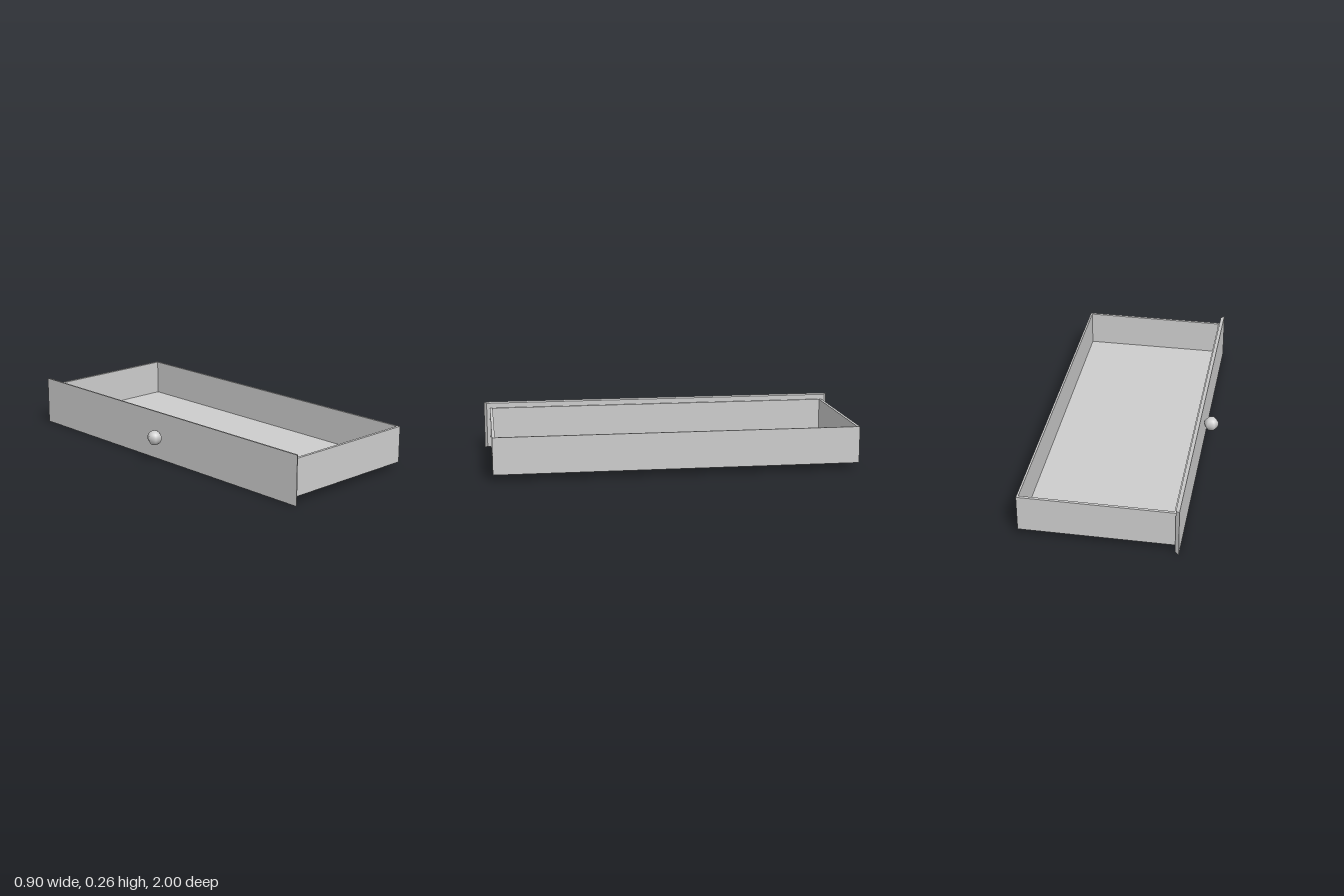
import * as THREE from 'three';

export function createModel() {
  const model = new THREE.Group();
  model.name = 'drawer';
  const grey = new THREE.MeshStandardMaterial({ color: 0xcccccc });
  grey.name = 'light grey';

  const add = (name, geometry, x, y, z) => {
    const mesh = new THREE.Mesh(geometry, grey);
    mesh.name = name;
    mesh.position.set(x, y, z);
    model.add(mesh);
    return mesh;
  };

  // Open tray: floor and four thin walls
  const x0 = -0.35, x1 = 0.45, y0 = 0.034, y1 = 0.23, halfZ = 0.967;
  const wallX = 0.01, wallZ = 0.015, floor = 0.004;
  const midX = (x0 + x1) / 2, wallH = y1 - y0, midY = (y0 + y1) / 2;
  const innerX = x1 - x0 - 2 * wallX, innerZ = 2 * (halfZ - wallZ);
  add('trayFloor', new THREE.BoxGeometry(innerX, floor, innerZ), midX, y0 + floor / 2, 0);
  for (const [name, x] of [['panelSideWall', x0 + wallX / 2], ['farWall', x1 - wallX / 2]])
    add(name, new THREE.BoxGeometry(wallX, wallH, innerZ), x, midY, 0);
  for (const [name, s] of [['frontEndWall', 1], ['backEndWall', -1]])
    add(name, new THREE.BoxGeometry(x1 - x0, wallH, wallZ), midX, midY, s * (halfZ - wallZ / 2));

  // Drawer face with edges bevelled inward towards the tray
  const face = new THREE.BoxGeometry(0.02, 0.262, 2);
  const p = face.attributes.position;
  for (let i = 0; i < p.count; i++) {
    if (p.getX(i) > 0) {
      p.setY(i, Math.sign(p.getY(i)) * 0.126);
      p.setZ(i, Math.sign(p.getZ(i)) * 0.985);
    }
  }
  face.computeVertexNormals();
  add('drawerFace', face, -0.36, 0.131, 0);

  // Round pull knob, six-sided around the vertical axis
  add('knob', new THREE.SphereGeometry(0.04, 6, 16), -0.411, 0.132, 0);

  return model;
}
